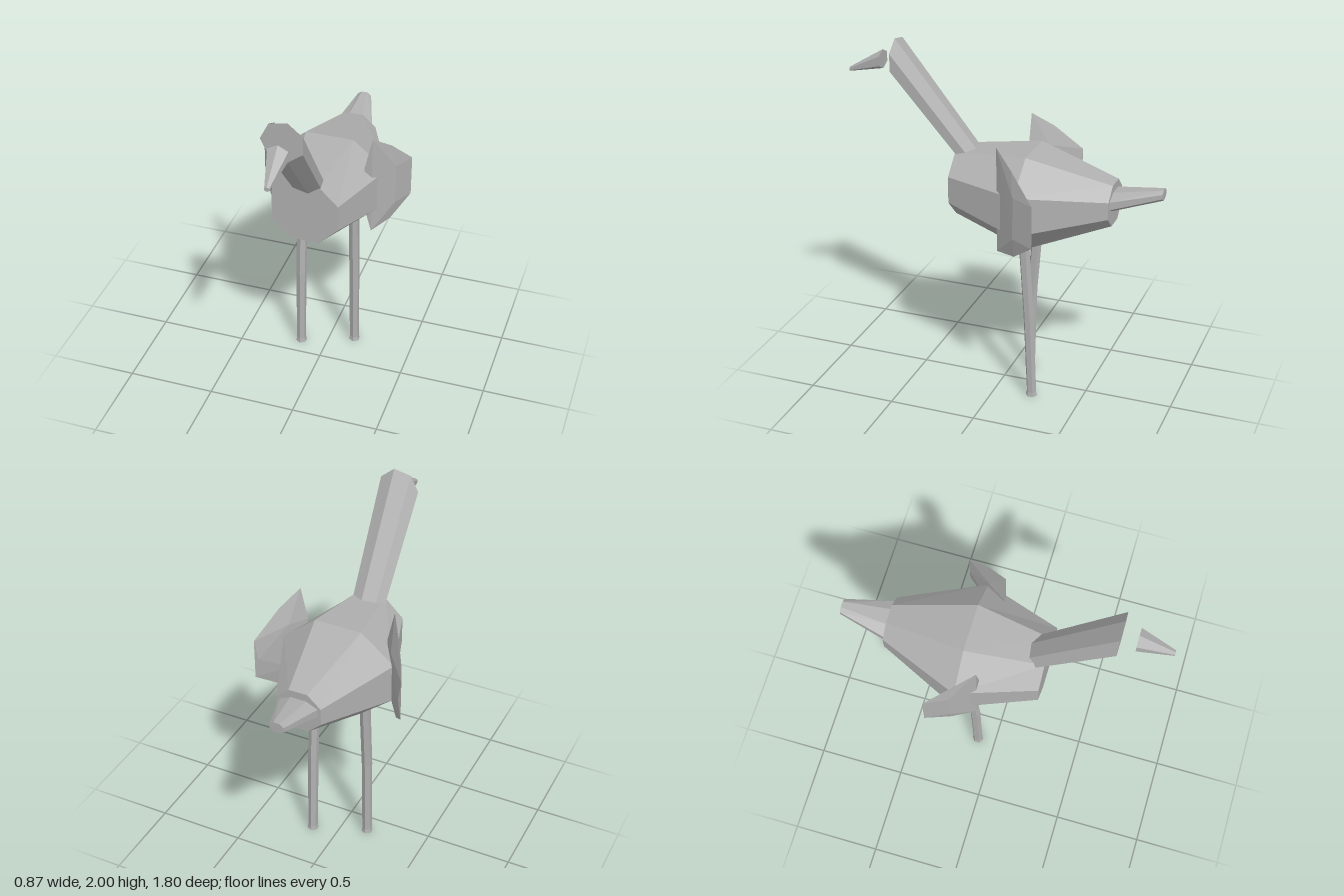
import * as THREE from 'three';
import { ConvexGeometry } from 'three/addons/geometries/ConvexGeometry.js';

const V = (x, y, z) => new THREE.Vector3(x, y, z);

// Ring in a vertical plane, counter-clockwise seen from the front
function uprightRing(n, start, x, y, z, rx, ry) {
  return Array.from({ length: n }, (_, i) => {
    const a = start + (i / n) * Math.PI * 2;
    return V(x + rx * Math.cos(a), y + ry * Math.sin(a), z);
  });
}

// Octagon given by its half width and half height across the flats
function octagon(x, y, z, hw, hh) {
  const k = 1 / Math.cos(Math.PI / 8);
  return uprightRing(8, Math.PI / 8, x, y, z, hw * k, hh * k);
}

// Horizontal ring, counter-clockwise seen from above
function levelRing(n, x, y, z, r) {
  return Array.from({ length: n }, (_, i) => {
    const a = ((i + 0.5) / n) * Math.PI * 2;
    return V(x + r * Math.cos(a), y, z - r * Math.sin(a));
  });
}

// Skin through rings, closed with flat caps
function loft(rings) {
  const pts = [];
  const n = rings[0].length;
  const first = rings[0];
  const last = rings[rings.length - 1];
  for (let r = 0; r < rings.length - 1; r++) {
    for (let i = 0; i < n; i++) {
      const j = (i + 1) % n;
      const a = rings[r], b = rings[r + 1];
      pts.push(a[i], b[i], b[j], a[i], b[j], a[j]);
    }
  }
  for (let i = 1; i < n - 1; i++) {
    pts.push(first[0], first[i], first[i + 1]);
    pts.push(last[0], last[i + 1], last[i]);
  }
  const g = new THREE.BufferGeometry().setFromPoints(pts);
  g.computeVertexNormals();
  return g;
}

export function createModel() {
  const model = new THREE.Group();
  model.name = 'bird';
  const grey = new THREE.MeshStandardMaterial({ color: 0xb0b0b0, flatShading: true });
  grey.name = 'plain grey';
  const add = (name, geometry) => {
    const mesh = new THREE.Mesh(geometry, grey);
    mesh.name = name;
    model.add(mesh);
  };

  // Body: blunt chest, wide middle, narrow rump
  add('body', loft([
    octagon(0, 1.22, 0.26, 0.187, 0.183),
    octagon(0, 1.18, -0.17, 0.33, 0.27),
    octagon(0, 1.207, -0.635, 0.13, 0.118),
  ]));

  // Tail: flat and slightly skewed
  add('tail', loft([
    octagon(0, 1.225, -0.62, 0.115, 0.055),
    octagon(-0.017, 1.288, -0.9, 0.041, 0.03),
  ]));

  // Neck: slanted seven-sided tube, cut upright at the top
  const neckTurn = THREE.MathUtils.degToRad(76);
  add('neck', loft([
    uprightRing(7, neckTurn, 0.012, 1.886, 0.62, 0.118, 0.117),
    uprightRing(7, neckTurn, -0.007, 1.25, 0.1, 0.093, 0.09),
  ]));

  // Beak: drooping cone floating ahead of the neck
  add('beak', loft([
    uprightRing(6, Math.PI / 6, 0.03, 1.792, 0.9, 0.015, 0.013),
    uprightRing(6, Math.PI / 6, 0.018, 1.868, 0.705, 0.063, 0.054),
  ]));

  // Wings: thin faceted blades swept outward and back
  const wing = [
    [0.28, 1.548, -0.057], [0.238, 1.36, -0.055], [0.24, 1.1, -0.055], [0.28, 0.947, -0.06],
    [0.355, 1.46, -0.168], [0.355, 0.967, -0.185],
    [0.38, 1.32, -0.185], [0.38, 1.08, -0.185],
    [0.305, 1.36, -0.157], [0.305, 1.08, -0.157],
    [0.437, 1.31, -0.312], [0.437, 1.07, -0.312], [0.417, 1.19, -0.306],
  ];
  for (const [name, side] of [['leftWing', 1], ['rightWing', -1]]) {
    add(name, new ConvexGeometry(wing.map(([x, y, z]) => V(side * x, y, z))));
  }

  // Legs: one stepping back, the other forward with a slight knee
  const legs = { leftLeg: [0.148, -0.165, -0.198, -0.22], rightLeg: [-0.152, -0.15, -0.115, -0.107] };
  for (const [name, [x, top, knee, foot]] of Object.entries(legs)) {
    add(name, loft([
      levelRing(6, x, 1.0, top, 0.031),
      levelRing(6, x, 0.52, knee, 0.03),
      levelRing(6, x, 0.025, foot, 0.028),
      levelRing(6, x, 0, foot, 0.033),
    ]));
  }

  return model;
}
